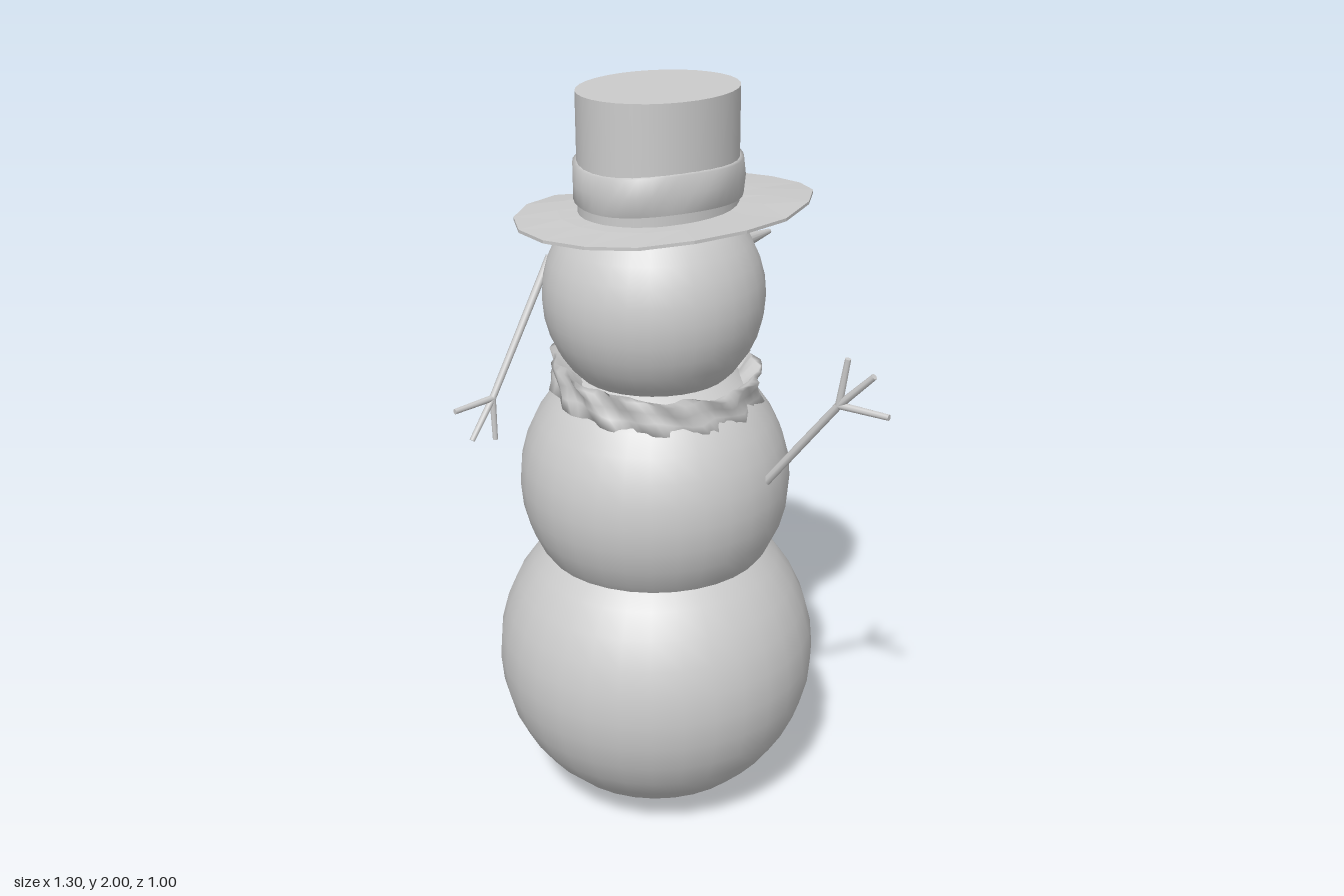
import * as THREE from 'three';

const CX = -0.04, CZ = 0.06; // axis of the snowman
const grey = new THREE.MeshStandardMaterial({ color: 0xcccccc });
const thin = new THREE.MeshStandardMaterial({ color: 0xcccccc, side: THREE.DoubleSide });
const facet = new THREE.MeshStandardMaterial({ color: 0xcccccc, side: THREE.DoubleSide, flatShading: true });

function add(parent, name, geometry, material = grey) {
  const mesh = new THREE.Mesh(geometry, material);
  mesh.name = name;
  parent.add(mesh);
  return mesh;
}

function ball(parent, name, r, x, y, z, w = 32, h = 18) {
  const mesh = add(parent, name, new THREE.SphereGeometry(r, w, h));
  mesh.position.set(x, y, z);
  return mesh;
}

// Tapered stick between two points
function stick(parent, name, a, b, r0, r1, sides = 8) {
  const from = new THREE.Vector3(...a), to = new THREE.Vector3(...b);
  const dir = to.clone().sub(from);
  const mesh = add(parent, name, new THREE.CylinderGeometry(r1, r0, dir.length(), sides));
  mesh.position.copy(from).addScaledVector(dir, 0.5);
  mesh.quaternion.setFromUnitVectors(new THREE.Vector3(0, 1, 0), dir.normalize());
  return mesh;
}

// Surface through closed rings; point(ring, angle) returns [x, y, z]
function ringSurface(rings, segments, point) {
  const pos = [], index = [];
  for (let i = 0; i < rings; i++)
    for (let j = 0; j < segments; j++) pos.push(...point(i, (j / segments) * Math.PI * 2, j));
  for (let i = 0; i < rings - 1; i++)
    for (let j = 0; j < segments; j++) {
      const k = (j + 1) % segments;
      const a = i * segments + j, b = i * segments + k, c = a + segments, d = b + segments;
      index.push(a, c, b, b, c, d);
    }
  const g = new THREE.BufferGeometry();
  g.setAttribute('position', new THREE.Float32BufferAttribute(pos, 3));
  g.setIndex(index);
  g.computeVertexNormals();
  return g;
}

function makeArm(name, shoulder, wrist, tips) {
  const arm = new THREE.Group();
  arm.name = name;
  stick(arm, 'branch', shoulder, wrist, 0.012, 0.01);
  for (const tip of tips) stick(arm, 'twig', wrist, tip, 0.01, 0.008);
  return arm;
}

function makeHat() {
  const hat = new THREE.Group();
  hat.name = 'hat';
  const hx = -0.034, hz = 0.043;

  // Oval crown with a closed top
  const crown = add(hat, 'crown', new THREE.CylinderGeometry(0.19, 0.19, 0.31, 32), thin);
  crown.scale.z = 1.2;
  crown.position.set(hx, 1.845, hz);

  // Slightly rumpled ribbon
  const profile = [[0.188, 1.73], [0.2, 1.732], [0.202, 1.78], [0.2, 1.825], [0.188, 1.828]];
  add(hat, 'ribbon', ringSurface(profile.length, 40, (i, t) => {
    const r = profile[i][0] + (i === 2 ? 0.003 * Math.sin(7 * t) : 0);
    return [hx + r * Math.cos(t), profile[i][1] + 0.004 * Math.sin(3 * t), hz + r * 1.19 * Math.sin(t)];
  }), thin);

  // Bent oval brim: rim heights run from +x through +z, -x and -z
  const rim = [1.715, 1.715, 1.71, 1.7, 1.695, 1.69, 1.685, 1.68, 1.675,
    1.665, 1.63, 1.62, 1.655, 1.685, 1.69, 1.7, 1.715, 1.722];
  const brimPoint = (s, lift) => (i, t, j) => [
    -0.035 + s[i] * 0.357 * Math.cos(t),
    THREE.MathUtils.lerp(1.697, rim[j], ((s[i] - 0.4) / 0.6) ** 1.3) + lift[i],
    0.015 + s[i] * 0.42 * Math.sin(t) + (1 - s[i]) * 0.03];
  add(hat, 'brim', ringSurface(6, 18,
    brimPoint([0.4, 0.7, 1, 1, 0.7, 0.4], [-0.008, -0.008, -0.004, 0.004, 0.008, 0.008])), facet);
  return hat;
}

function makeFace() {
  const face = new THREE.Group();
  face.name = 'face';
  stick(face, 'nose', [CX, 1.513, -0.19], [CX, 1.506, -0.5], 0.04, 0.007, 16);

  // Seat a stone on the surface of the head
  const onHead = (dx, y) => CZ - Math.sqrt(0.287 ** 2 - dx ** 2 - (y - 1.475) ** 2);
  for (const side of [-1, 1]) {
    const y = 1.59, z = onHead(0.09, y);
    const eye = ball(face, 'eye', 0.028, CX + side * 0.09, y, z, 12, 8);
    eye.scale.z = 0.5;
    eye.lookAt(CX, 1.475, CZ);
  }
  for (let i = -3; i <= 3; i++) {
    const dx = i * 0.05, y = 1.39 + 0.07 * (i / 3) ** 2;
    ball(face, 'mouthStone', 0.018, CX + dx, y, onHead(dx, y), 10, 8);
  }
  return face;
}

export function createModel() {
  const model = new THREE.Group();
  model.name = 'snowman';

  ball(model, 'lowerBody', 0.438, CX, 0.443, CZ);
  ball(model, 'upperBody', 0.362, CX, 0.965, CZ);
  ball(model, 'head', 0.288, CX, 1.475, CZ);
  model.add(makeFace(), makeHat());

  // Tilted, wrinkled scarf wrapped round the neck
  const profile = [[0.19, 1.235], [0.23, 1.265], [0.262, 1.295], [0.274, 1.29],
    [0.264, 1.26], [0.268, 1.235], [0.274, 1.205], [0.25, 1.2]];
  add(model, 'scarf', ringSurface(profile.length, 72, (i, t) => {
    const r = profile[i][0] + 0.007 * Math.sin(13 * t + i * 1.4) + 0.004 * Math.sin(22 * t - i * 2);
    const x = r * Math.cos(t);
    return [-0.033 + x, profile[i][1] - 0.095 * x + 0.005 * Math.sin(9 * t + i), CZ + r * Math.sin(t)];
  }), thin);

  // Raised arm, and the lowered one that hangs free of the body
  model.add(
    makeArm('leftArm', [0.24, 0.945, 0.057], [0.51, 1.29, 0.057],
      [[0.53, 1.415, 0.057], [0.603, 1.385, 0.057], [0.648, 1.29, 0.057]]),
    makeArm('rightArm', [-0.588, 1.415, -0.19], [-0.615, 1.05, 0.055],
      [[-0.608, 0.925, 0.06], [-0.625, 0.945, 0.14], [-0.643, 1.045, 0.185]]));
  return model;
}
